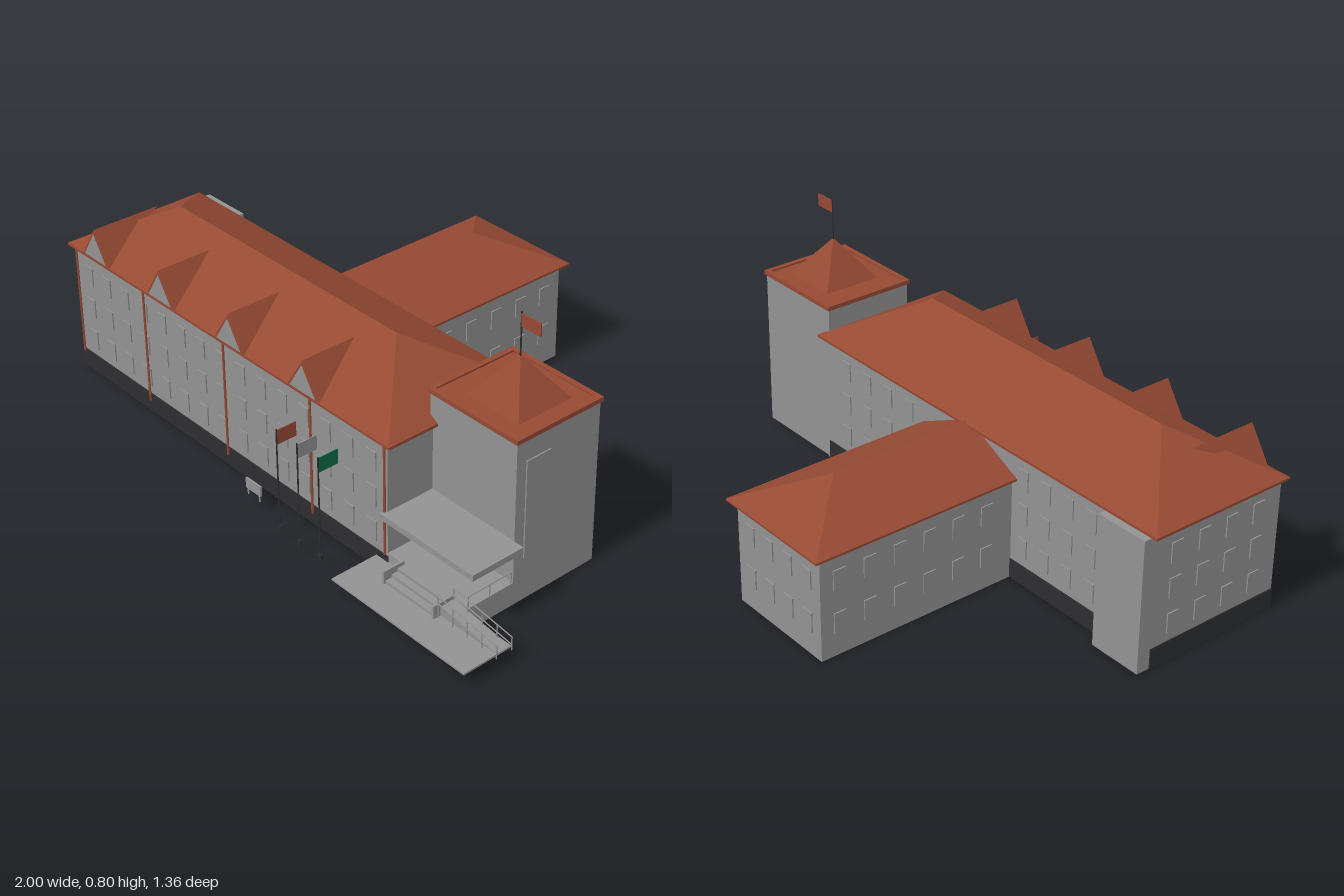
import * as THREE from 'three';

const mat = (name, color) => {
  const m = new THREE.MeshStandardMaterial({ color });
  m.name = name;
  return m;
};

export function createModel() {
  const root = new THREE.Group();
  const wall = mat('wall grey', 0x929292);
  const red = mat('roof tile red', 0x964a34);
  const dark = mat('plinth charcoal', 0x2d2e30);
  const green = mat('flag green', 0x0f6b47);

  const add = (name, geo, m, parent = root) => {
    const mesh = new THREE.Mesh(geo, m);
    mesh.name = name;
    parent.add(mesh);
    return mesh;
  };
  const group = (name) => {
    const g = new THREE.Group();
    g.name = name;
    root.add(g);
    return g;
  };
  // Box given by its limits on each axis
  const box = (name, x0, x1, y0, y1, z0, z1, m, parent) => {
    const g = new THREE.BoxGeometry(x1 - x0, y1 - y0, z1 - z0);
    g.translate((x0 + x1) / 2, (y0 + y1) / 2, (z0 + z1) / 2);
    return add(name, g, m, parent);
  };
  // Thin round bar between two points
  const bar = (name, a, b, r, m, parent) => {
    const p = new THREE.Vector3(...a), q = new THREE.Vector3(...b);
    const mesh = add(name, new THREE.CylinderGeometry(r, r, p.distanceTo(q), 6), m, parent);
    mesh.position.copy(p).add(q).multiplyScalar(0.5);
    mesh.quaternion.setFromUnitVectors(new THREE.Vector3(0, 1, 0), q.sub(p).normalize());
    return mesh;
  };
  // Flat-faced solid from corner points and polygon faces
  const solid = (pts, faces) => {
    const pos = [];
    for (const f of faces)
      for (let i = 1; i < f.length - 1; i++) pos.push(...pts[f[0]], ...pts[f[i]], ...pts[f[i + 1]]);
    const g = new THREE.BufferGeometry();
    g.setAttribute('position', new THREE.Float32BufferAttribute(pos, 3));
    g.computeVertexNormals();
    return g;
  };
  // Hipped roof: eaves rectangle plus ridge from p to q, along x or z
  const hip = (x0, x1, z0, z1, y, p, q, alongX) => solid(
    [[x0, y, z1], [x1, y, z1], [x1, y, z0], [x0, y, z0], p, q],
    alongX
      ? [[0, 1, 5, 4], [1, 2, 5], [2, 3, 4, 5], [3, 0, 4], [3, 2, 1, 0]]
      : [[0, 1, 5], [1, 2, 4, 5], [2, 3, 4], [3, 0, 5, 4], [3, 2, 1, 0]]);

  // Main block
  box('mainWalls', -0.98, 0.5, 0, 0.44, 0.03, 0.51, wall);
  box('mainEaves', -1, 0.52, 0.432, 0.44, 0.01, 0.522, red);
  add('mainRoof', hip(-1, 0.52, 0.01, 0.522, 0.44, [-0.74, 0.583, 0.27], [0.265, 0.583, 0.27], true), red);

  // Plinth strips
  const plinth = group('plinth');
  box('plinthFront', -0.983, 0.503, 0.001, 0.065, 0.508, 0.513, dark, plinth);
  box('plinthEnd', -0.983, -0.979, 0.001, 0.065, 0.03, 0.513, dark, plinth);
  box('plinthBackLong', -0.8, -0.395, 0.001, 0.065, 0.027, 0.031, dark, plinth);
  box('plinthBackShort', 0, 0.49, 0.001, 0.065, 0.027, 0.031, dark, plinth);
  box('plinthEntrance', 0.499, 0.503, 0.001, 0.02, 0.345, 0.51, dark, plinth);

  // Stair projection at the rear corner
  box('rearStairBay', -0.98, -0.8, 0, 0.432, -0.015, 0.03, wall);

  // Rear wing
  box('wingWalls', -0.395, -0.005, 0, 0.342, -0.655, 0.03, wall);
  box('wingEaves', -0.415, 0.015, 0.336, 0.343, -0.68, 0.03, red);
  add('wingRoof', hip(-0.415, 0.015, -0.68, 0.03, 0.343, [-0.2, 0.445, -0.46], [-0.2, 0.445, 0.03], false), red);

  // Corner tower
  box('towerWalls', 0.49, 0.825, 0, 0.53, 0.035, 0.345, wall);
  box('towerEaves', 0.484, 0.831, 0.528, 0.536, 0.029, 0.351, red);
  for (const [a, b, c, d] of [[0.484, 0.831, 0.335, 0.351], [0.484, 0.831, 0.029, 0.045],
    [0.484, 0.5, 0.045, 0.335], [0.815, 0.831, 0.045, 0.335]])
    box('towerRim', a, b, 0.536, 0.542, c, d, red);
  add('towerSpire', hip(0.572, 0.772, 0.09, 0.29, 0.536, [0.672, 0.667, 0.19], [0.672, 0.667, 0.19], true), red);
  bar('towerPole', [0.672, 0.65, 0.19], [0.672, 0.8, 0.19], 0.0025, dark);
  box('towerFlag', 0.672, 0.745, 0.755, 0.795, 0.188, 0.192, red);
  box('towerPanel', 0.824, 0.829, 0.14, 0.46, 0.22, 0.31, wall);

  // Dormers cut into the front slope
  for (const [x, zb] of [[-0.845, 0.285], [-0.51, 0.33], [-0.175, 0.33], [0.16, 0.33]]) {
    const g = group('dormer');
    add('dormerRoof', solid(
      [[x - 0.07, 0.44, 0.522], [x + 0.07, 0.44, 0.522], [x, 0.547, 0.522], [x, 0.547, zb]],
      [[0, 1, 2], [1, 3, 2], [0, 2, 3], [0, 3, 1]]), red, g);
    add('dormerGable', solid(
      [[x - 0.056, 0.445, 0.525], [x + 0.056, 0.445, 0.525], [x, 0.533, 0.525]], [[0, 1, 2]]), wall, g);
  }

  // Downpipes
  for (const [x, y] of [[-0.965, 0.06], [-0.61, 0.04], [-0.215, 0.04], [0.18, 0.04], [0.494, 0.07]])
    bar('downpipe', [x, y, 0.516], [x, 0.435, 0.516], 0.004, red);

  // Windows as slim raised panels
  const windows = group('windows');
  const t = 0.004;
  const paneX = (x, y, z, w = 0.042, h = 0.065) =>
    box('window', x - w / 2, x + w / 2, y - h / 2, y + h / 2, z - t, z + t, wall, windows);
  const paneZ = (z, y, x, w = 0.042, h = 0.065) =>
    box('window', x - t, x + t, y - h / 2, y + h / 2, z - w / 2, z + w / 2, wall, windows);
  for (const y of [0.125, 0.24, 0.355]) {
    for (let i = 0; i < 15; i++) paneX(-0.91 + i * 0.096, y, 0.51);
    for (let i = 0; i < 4; i++) {
      paneX(-0.73 + i * 0.095, y, 0.03);
      paneX(0.08 + i * 0.105, y, 0.03);
      paneZ(0.11 + i * 0.105, y, -0.98);
    }
  }
  for (const y of [0.11, 0.25]) {
    for (let i = 0; i < 4; i++) paneX(-0.335 + i * 0.09, y, -0.655);
    for (let i = 0; i < 6; i++)
      for (const x of [-0.395, -0.005]) paneZ(-0.59 + i * 0.105, y, x);
  }

  // Entrance: landing, canopy, steps and ramp
  const entrance = group('entrance');
  box('landing', 0.5, 0.825, 0.02, 0.075, 0.345, 0.51, wall, entrance);
  box('landingBase', 0.5, 0.825, 0, 0.02, 0.345, 0.505, wall, entrance);
  box('canopy', 0.49, 0.86, 0.195, 0.215, 0.345, 0.53, wall, entrance);
  box('forecourt', 0.455, 0.985, 0.04, 0.046, 0.505, 0.675, wall, entrance);
  for (let i = 0; i < 3; i++)
    box('step', 0.565, 0.77, 0.036, 0.075 - i * 0.01, 0.51, 0.535 + i * 0.022, wall, entrance);
  for (const x of [0.565, 0.765])
    box('stepCheek', x - 0.004, x + 0.004, 0.036, 0.087, 0.51, 0.585, wall, entrance);
  add('ramp', solid(
    [[0.77, 0.046, 0.56], [0.985, 0.046, 0.56], [0.985, 0.046, 0.51], [0.77, 0.046, 0.51],
      [0.77, 0.075, 0.56], [0.77, 0.075, 0.51]],
    [[0, 1, 4], [1, 2, 5, 4], [2, 3, 5], [3, 0, 4, 5], [3, 2, 1, 0]]), wall, entrance);

  // Handrails
  const rails = group('handrails');
  for (const z of [0.515, 0.57]) {
    for (const h of [0, 0.025])
      bar('rampRail', [0.77, 0.116 - h, z], [0.998, 0.086 - h, z], 0.002, wall, rails);
    for (let i = 0; i < 5; i++) {
      const x = 0.772 + i * 0.056;
      bar('railPost', [x, 0.043, z], [x, 0.116 - i * 0.0074, z], 0.002, wall, rails);
    }
  }
  bar('landingRail', [0.822, 0.112, 0.35], [0.822, 0.112, 0.508], 0.002, wall, rails);
  for (const z of [0.35, 0.43, 0.508])
    bar('landingPost', [0.822, 0.07, z], [0.822, 0.112, z], 0.002, wall, rails);

  // Flagpoles in front of the building
  [red, wall, green].forEach((m, i) => {
    const x = 0.175 + i * 0.09, g = group('flagpole');
    bar('pole', [x, 0.04, 0.632], [x, 0.376, 0.632], 0.0025, dark, g);
    bar('poleFoot', [x, 0.03, 0.632], [x, 0.05, 0.632], 0.007, dark, g);
    box('flag', x - 0.0015, x + 0.0015, 0.326, 0.373, 0.563, 0.632, m, g);
  });

  // Notice board
  const board = group('noticeBoard');
  box('boardPanel', -0.03, 0.038, 0.055, 0.09, 0.587, 0.593, wall, board);
  for (const x of [-0.022, 0.03]) bar('boardLeg', [x, 0.035, 0.59], [x, 0.06, 0.59], 0.003, wall, board);

  return root;
}
